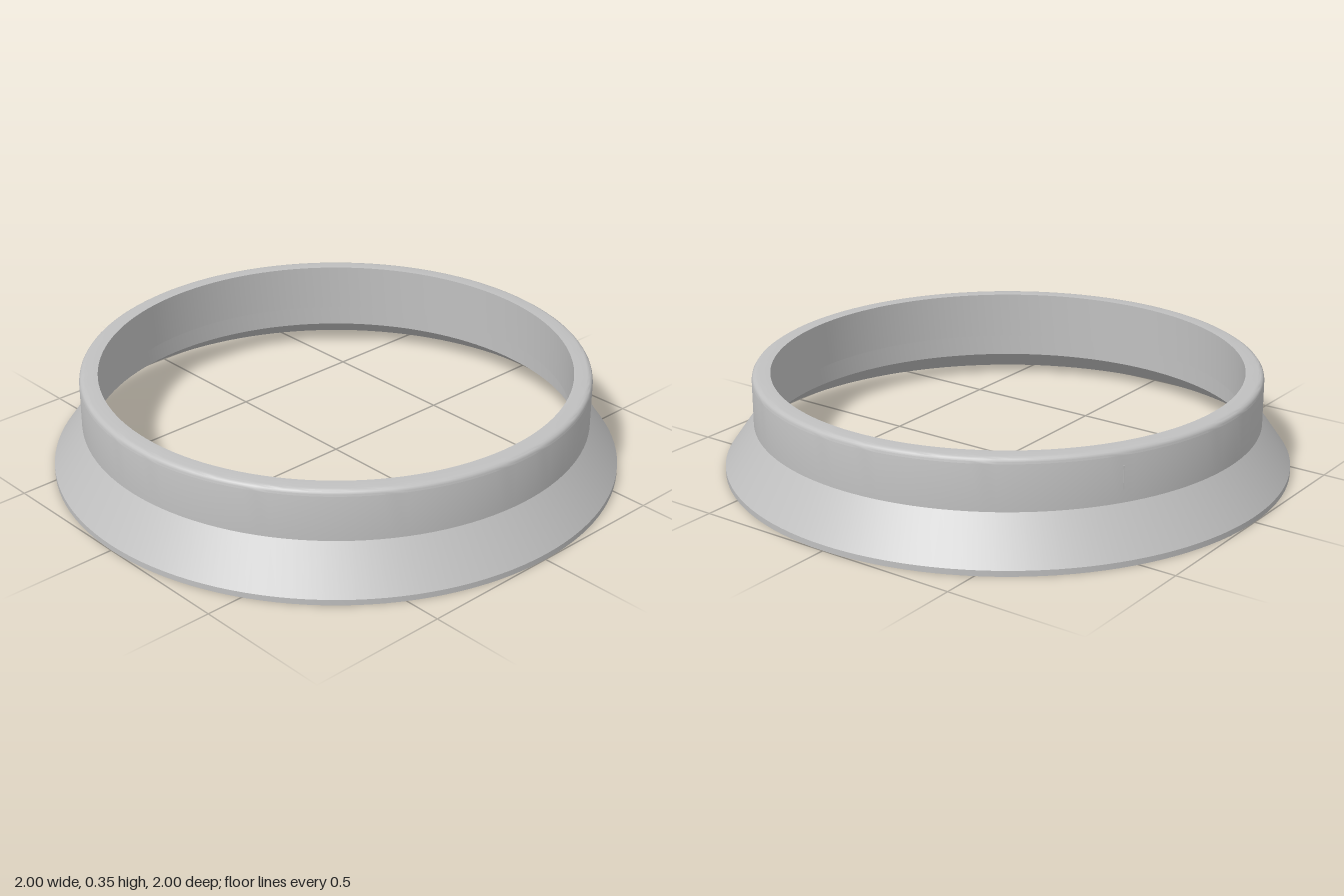
import * as THREE from 'three';
import { toCreasedNormals } from 'three/addons/utils/BufferGeometryUtils.js';

export function createModel() {
  const group = new THREE.Group();
  group.name = 'flangedRing';
  const grey = new THREE.MeshStandardMaterial({ color: 0xc0c0c0 });
  grey.name = 'grey';

  const wallRadius = 0.895, height = 0.35, fillet = 0.02;

  // Closed cross-section: up the outside, over the top, down the inside
  const profile = [[1, 0], [1, 0.02], [wallRadius, 0.17]];
  for (let i = 0; i <= 4; i++) {
    const a = (i / 4) * Math.PI / 2;
    profile.push([
      wallRadius - fillet + fillet * Math.cos(a),
      height - fillet + fillet * Math.sin(a),
    ]);
  }
  profile.push(
    [0.83, height], [0.83, 0.18], // inner wall
    [0.87, 0.175], [0.87, 0.09],  // ledge and recess
    [1, 0],                       // underside of the flare
  );
  const points = profile.map(([r, y]) => new THREE.Vector2(r, y));
  const ring = new THREE.Mesh(
    toCreasedNormals(new THREE.LatheGeometry(points, 128), 0.5), grey);
  ring.name = 'ring';
  group.add(ring);

  // Hairline index mark on the back of the outer wall
  const mark = new THREE.Mesh(new THREE.BoxGeometry(0.004, 0.08, 0.004), grey);
  const angle = Math.atan2(0.45, -0.77);
  mark.position.set(wallRadius * Math.sin(angle), 0.255, wallRadius * Math.cos(angle));
  mark.rotation.y = angle;
  mark.name = 'indexMark';
  group.add(mark);

  return group;
}
